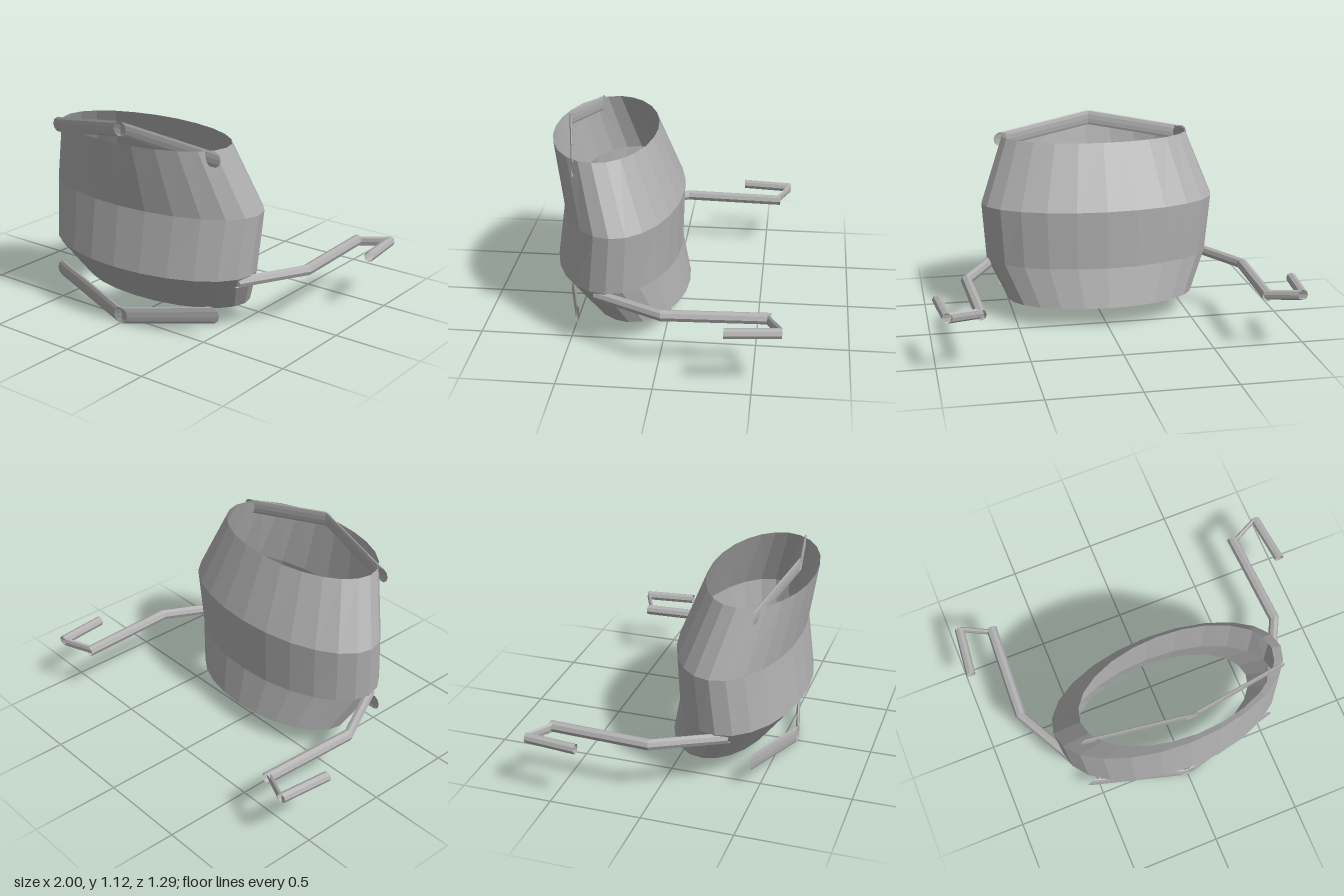
import * as THREE from 'three';

const grey = new THREE.MeshStandardMaterial({ color: 0xb0b0b0, flatShading: true, side: THREE.DoubleSide });
grey.name = 'grey';

// Open skin joining a list of rings; point(ring, angle) gives [x, y, z]
function skin(name, rings, sides, point) {
  const pos = [], index = [];
  rings.forEach((ring, j) => {
    for (let i = 0; i < sides; i++) {
      pos.push(...point(ring, (i / sides) * Math.PI * 2));
      if (j === rings.length - 1) continue;
      const a = j * sides + i, b = j * sides + (i + 1) % sides;
      index.push(a, b, b + sides, a, b + sides, a + sides);
    }
  });
  const geo = new THREE.BufferGeometry();
  geo.setAttribute('position', new THREE.Float32BufferAttribute(pos, 3));
  geo.setIndex(index);
  geo.computeVertexNormals();
  const mesh = new THREE.Mesh(geo, grey);
  mesh.name = name;
  return mesh;
}

// Hollow pipe whose upright round section is carried along a path without turning
const pipe = (name, path, r, sides) => skin(name, path, sides,
  ([x, y, z], t) => [x + r * Math.cos(t), y + r * Math.sin(t), z]);

export function createModel() {
  const model = new THREE.Group();
  model.name = 'model';

  // Barrel shell, open at both ends: height, centre z, half width, half depth
  const shellRings = [
    [0.13, 0.18, 0.535, 0.28],
    [0.35, 0.288, 0.645, 0.343],
    [0.68, 0.26, 0.67, 0.325],
    [1.04, 0.363, 0.535, 0.283],
  ];
  model.add(skin('shell', shellRings, 24,
    ([y, cz, rx, rz], t) => [rx * Math.sin(t), y, cz + rz * Math.cos(t)]));

  // Bent rails at the front, above and below
  model.add(pipe('topRail', [[-0.53, 1, 0.46], [0, 1.09, 0.562], [0.53, 1, 0.46]], 0.042, 10));
  model.add(pipe('bottomRail', [[-0.525, 0.155, 0.46], [0, 0.052, 0.58], [0.525, 0.155, 0.46]], 0.046, 10));

  // Arms sweeping back, each ending in a hook
  for (const s of [1, -1]) {
    const side = s > 0 ? 'left' : 'right';
    const mirror = (path) => path.map(([x, y, z]) => [s * x, y, z]);
    model.add(pipe(side + 'Arm',
      mirror([[0.595, 0.32, 0.355], [0.79, 0.32, -0.02], [0.765, 0.32, -0.585]]), 0.031, 8));
    model.add(pipe(side + 'Hook',
      mirror([[0.775, 0.32, -0.565], [0.94, 0.335, -0.645], [0.971, 0.335, -0.355]]), 0.028, 8));
  }
  return model;
}
